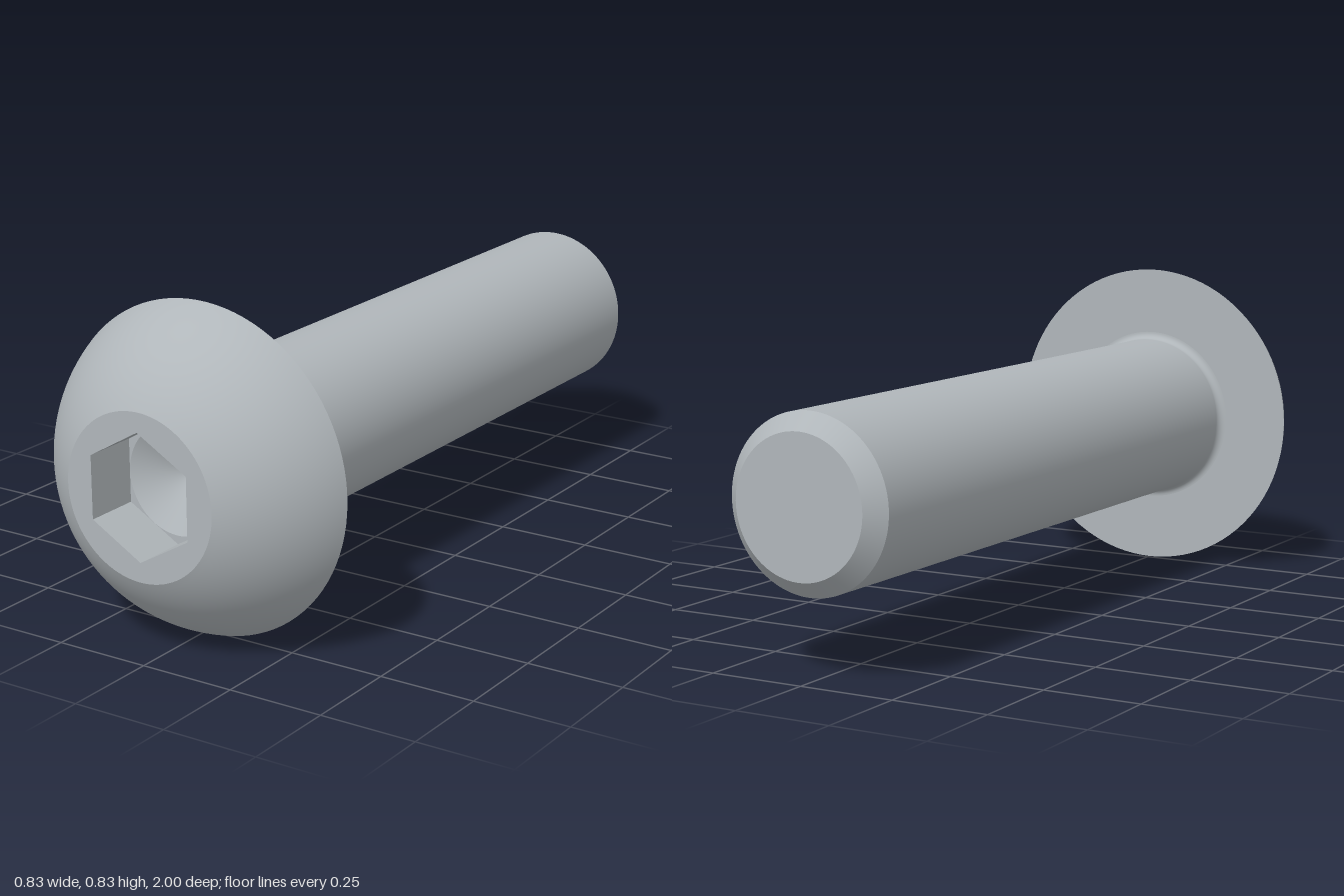
import * as THREE from 'three';

const SEGMENTS = 96;
const HEAD_R = 0.417, FACE_R = 0.208, SHANK_R = 0.218, TIP_R = 0.175;
const HEAD_BACK = 0.762, TIP_CHAMFER = -0.957, FILLET = 0.02;
const HEX_IN = 0.1375, HEX_OUT = HEX_IN / Math.cos(Math.PI / 6);
const SOCKET_FLOOR = 0.857, SOCKET_POINT = 0.778;

export function createModel() {
  const model = new THREE.Group();
  model.name = 'buttonHeadBolt';
  const steel = new THREE.MeshStandardMaterial({ color: 0xb0b6ba });
  steel.name = 'steel';

  const add = (name, geometry) => {
    const mesh = new THREE.Mesh(geometry, steel);
    mesh.name = name;
    mesh.position.y = HEAD_R;
    model.add(mesh);
  };
  // Revolves [radius, z] pairs around the bolt's axis; each call is one smooth surface
  const turn = (points, sides = SEGMENTS) =>
    new THREE.LatheGeometry(points.map(([r, z]) => new THREE.Vector2(r, z)), sides).rotateX(Math.PI / 2);
  // Points of an arc in the profile plane
  const arc = (r, z, radius, from, to, steps) =>
    Array.from({ length: steps + 1 }, (_, i) => {
      const a = from + (to - from) * i / steps;
      return [r + radius * Math.cos(a), z + radius * Math.sin(a)];
    });
  // Flat outlines for the faces around the socket
  const polygon = (radius, sides) => Array.from({ length: sides }, (_, i) => {
    const a = Math.PI / 2 + i * 2 * Math.PI / sides;
    return new THREE.Vector2(radius * Math.cos(a), radius * Math.sin(a));
  });
  const plate = (outer, inner, z) => {
    const shape = new THREE.Shape(outer);
    shape.holes.push(new THREE.Path(inner));
    return new THREE.ShapeGeometry(shape).translate(0, 0, z);
  };

  // Shank with chamfered tip and a fillet under the head
  add('tipFace', turn([[0, -1], [TIP_R, -1]]));
  add('tipChamfer', turn([[TIP_R, -1], [SHANK_R, TIP_CHAMFER]]));
  add('shank', turn([
    [SHANK_R, TIP_CHAMFER],
    ...arc(SHANK_R + FILLET, HEAD_BACK - FILLET, FILLET, Math.PI, Math.PI / 2, 8),
  ]));

  // Domed head: a slice of a sphere centred on the axis
  add('headUnderside', turn([[SHANK_R + FILLET, HEAD_BACK], [HEAD_R, HEAD_BACK]]));
  const centre = (FACE_R ** 2 + 1 - HEAD_R ** 2 - HEAD_BACK ** 2) / (2 * (1 - HEAD_BACK));
  const from = Math.atan2(HEAD_BACK - centre, HEAD_R);
  const to = Math.atan2(1 - centre, FACE_R);
  add('headDome', turn(arc(0, centre, Math.hypot(FACE_R, 1 - centre), from, to, 20)));
  add('headFace', plate(polygon(FACE_R, SEGMENTS), polygon(HEX_OUT, 6), 1));

  // Hexagonal socket with a drilled conical bottom
  const walls = turn([[HEX_OUT, 1], [HEX_OUT, SOCKET_FLOOR]], 6).toNonIndexed();
  walls.computeVertexNormals();
  add('socketWalls', walls);
  add('socketFloor', plate(polygon(HEX_OUT, 6), polygon(HEX_IN - 0.0005, SEGMENTS), SOCKET_FLOOR));
  add('socketCone', turn([[HEX_IN - 0.0005, SOCKET_FLOOR], [0, SOCKET_POINT]]));

  return model;
}
